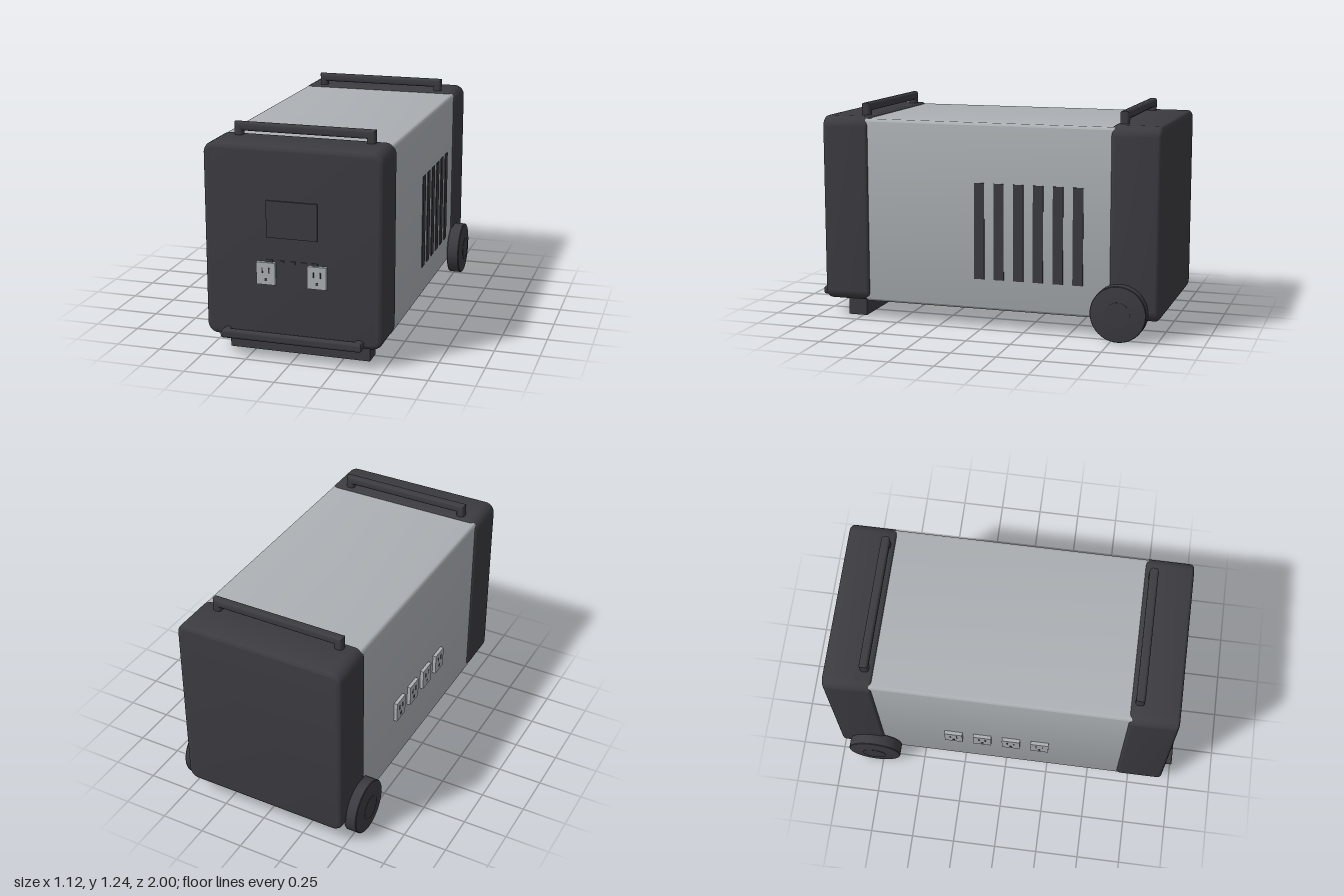
import * as THREE from 'three';
import { toCreasedNormals } from 'three/addons/utils/BufferGeometryUtils.js';

const dark = new THREE.MeshStandardMaterial({ color: 0x3c3b40 });
dark.name = 'charcoal plastic';
const light = new THREE.MeshStandardMaterial({ color: 0xacb0b4 });
light.name = 'light grey metal';

function add(parent, name, geometry, material, x = 0, y = 0, z = 0) {
  const mesh = new THREE.Mesh(geometry, material);
  mesh.name = name;
  mesh.position.set(x, y, z);
  parent.add(mesh);
  return mesh;
}

const box = (w, h, d) => new THREE.BoxGeometry(w, h, d);

// Rounded rectangle centred on the origin
function roundedRect(w, h, r) {
  const s = new THREE.Shape();
  const x = w / 2 - r, y = h / 2 - r;
  s.absarc(x, y, r, 0, Math.PI / 2);
  s.absarc(-x, y, r, Math.PI / 2, Math.PI);
  s.absarc(-x, -y, r, Math.PI, Math.PI * 1.5);
  s.absarc(x, -y, r, Math.PI * 1.5, Math.PI * 2);
  s.closePath();
  return s;
}

// Block with rounded corners and softened front and back rims, centred on the origin
function softBlock(w, h, d, r, bevel) {
  const g = new THREE.ExtrudeGeometry(roundedRect(w - 2 * bevel, h - 2 * bevel, r - bevel), {
    depth: d - 2 * bevel, bevelEnabled: bevel > 0, bevelSize: bevel,
    bevelThickness: bevel, bevelSegments: 5, curveSegments: 8,
  });
  g.translate(0, 0, -(d - 2 * bevel) / 2);
  return toCreasedNormals(g, 0.7);
}

// Bracket handle standing on y = 0, with a slim opening under the bar
function handleGeometry(height, gap) {
  const b = 0.016, depth = 0.05, out = 0.39 - b, inn = 0.342 + b, low = -0.02;
  const s = new THREE.Shape([
    [-out, low], [-inn, low], [-inn, gap + b], [inn, gap + b],
    [inn, low], [out, low], [out, height - b], [-out, height - b],
  ].map(([x, y]) => new THREE.Vector2(x, y)));
  const g = new THREE.ExtrudeGeometry(s, {
    depth: depth - 2 * b, bevelSize: b, bevelThickness: b, bevelSegments: 3,
  });
  g.translate(0, 0, -(depth - 2 * b) / 2);
  return toCreasedNormals(g, 0.6);
}

// Socket plate facing +z with two blade slots and a ground hole
function makeOutlet(name) {
  const g = new THREE.Group();
  g.name = name;
  add(g, 'outletPlate', box(0.104, 0.122, 0.03), light, 0, 0, 0.005);
  for (const x of [-0.019, 0.019]) add(g, 'bladeSlot', box(0.007, 0.03, 0.004), dark, x, 0.017, 0.02);
  add(g, 'groundHole', box(0.014, 0.016, 0.004), dark, 0, -0.032, 0.02);
  return g;
}

// Wheel with slightly domed faces, outward along +x
function makeWheel(name) {
  const g = new THREE.Group();
  g.name = name;
  const profile = [[0, 0.464], [0.07, 0.465], [0.152, 0.477], [0.155, 0.481],
    [0.155, 0.546], [0.152, 0.55], [0.07, 0.56], [0, 0.56]]
    .map(([r, h]) => new THREE.Vector2(r, h));
  const tyre = toCreasedNormals(new THREE.LatheGeometry(profile, 48), 0.5);
  add(g, 'tyre', tyre.rotateZ(-Math.PI / 2), dark);
  add(g, 'hub', new THREE.CylinderGeometry(0.07, 0.07, 0.006, 32).rotateZ(-Math.PI / 2), dark, 0.559);
  return g;
}

export function createModel() {
  const model = new THREE.Group();
  model.name = 'portablePowerStation';

  // Main shell and end caps
  add(model, 'shell', softBlock(0.954, 1.048, 1.45, 0.022, 0), light, 0, 0.63, -0.03);
  add(model, 'frontCap', softBlock(0.98, 1.06, 0.275, 0.06, 0.026), dark, 0, 0.635, 0.8075);
  add(model, 'backCap', softBlock(0.98, 1.06, 0.275, 0.06, 0.026), dark, 0, 0.635, -0.8625);

  // Handles on both caps and the pull bar low on the front
  add(model, 'frontHandle', handleGeometry(0.07, 0.022), dark, 0, 1.165, 0.72);
  add(model, 'backHandle', handleGeometry(0.07, 0.022), dark, 0, 1.165, -0.777);
  add(model, 'pullBar', handleGeometry(0.055, 0.012), dark, 0, 0.13, 0.945).rotation.x = Math.PI / 2;

  // Front foot
  add(model, 'foot', box(0.79, 0.125, 0.11), dark, 0, 0.0625, 0.785);

  // Wheels
  for (const side of [1, -1]) {
    const wheel = makeWheel(side > 0 ? 'leftWheel' : 'rightWheel');
    wheel.position.set(0, 0.155, -0.79);
    if (side < 0) wheel.rotation.y = Math.PI;
    model.add(wheel);
  }

  // Control panel: screen, buttons and two sockets
  add(model, 'screen', box(0.28, 0.2, 0.016), dark, 0, 0.777, 0.946);
  for (let i = -2; i <= 2; i++) add(model, 'button', box(0.034, 0.018, 0.012), dark, i * 0.062, 0.546, 0.945);
  for (const x of [-0.142, 0.14]) {
    const outlet = makeOutlet('frontOutlet');
    outlet.position.set(x, 0.481, 0.945);
    model.add(outlet);
  }

  // Row of sockets on the right flank
  for (let i = 0; i < 4; i++) {
    const outlet = makeOutlet('sideOutlet');
    outlet.position.set(-0.477, 0.481, -0.302 + i * 0.168);
    outlet.rotation.y = -Math.PI / 2;
    model.add(outlet);
  }

  // Vent slats on the left flank
  for (let i = 0; i < 6; i++) add(model, 'ventSlat', box(0.009, 0.54, 0.058), dark, 0.478, 0.552, 0.013 - i * 0.1126);

  return model;
}
